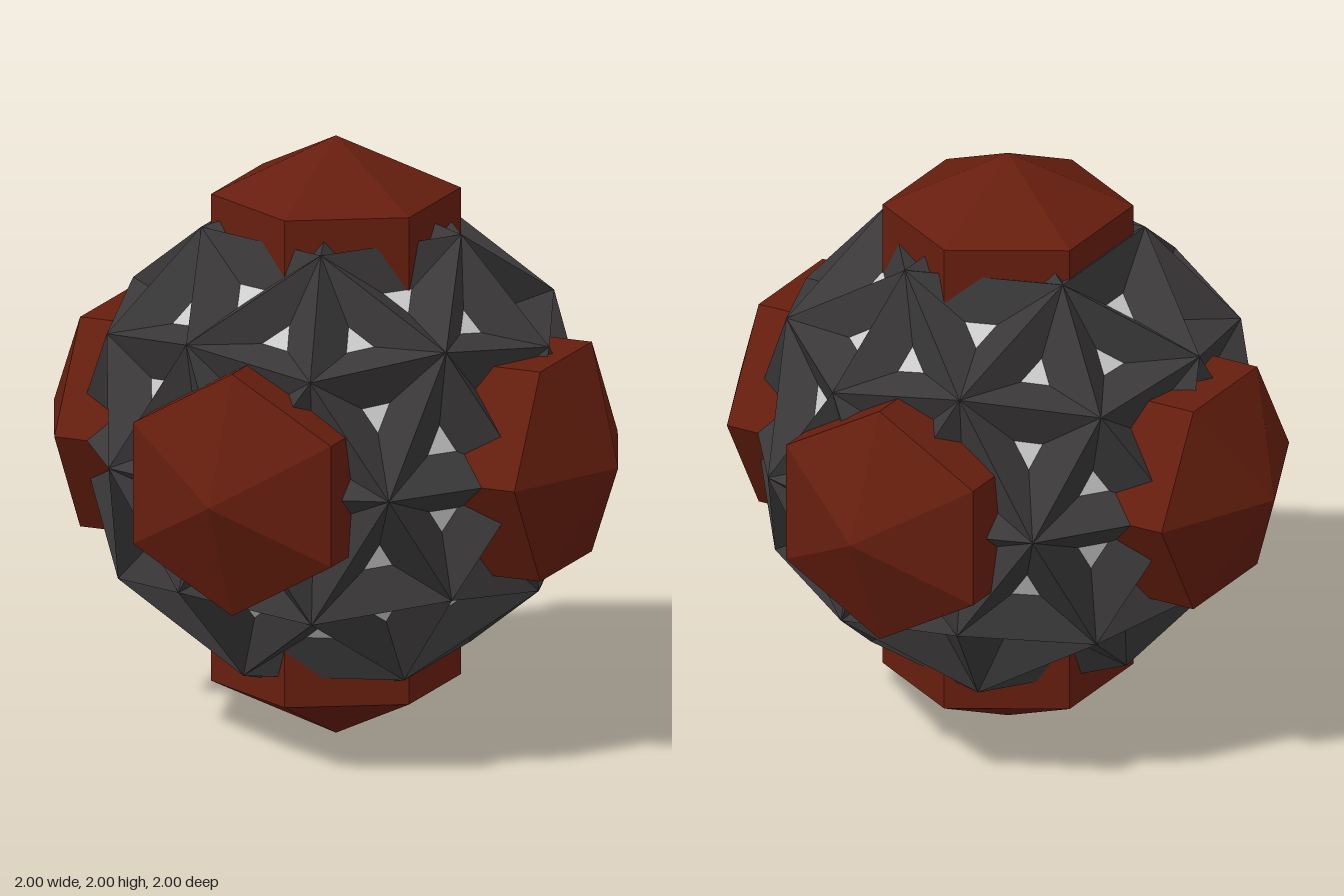
import * as THREE from 'three';

const R = 0.845;      // radius of the outer ridge vertices
const DEPTH = 0.885;  // scale of the inner core against the shell
const HOLE = 0.23;    // size of the opening in each pocket

// 80 triangles of a twice-divided icosahedron standing on a vertex
function geodesicFaces() {
  const ring = (y, turn) => Array.from({ length: 5 }, (_, k) => {
    const a = turn + k * Math.PI * 0.4, r = Math.sqrt(1 - y * y);
    return new THREE.Vector3(r * Math.cos(a), y, r * Math.sin(a));
  });
  const top = new THREE.Vector3(0, 1, 0), bottom = new THREE.Vector3(0, -1, 0);
  const h = 1 / Math.sqrt(5);
  const up = ring(h, 0), low = ring(-h, Math.PI / 5);
  const faces = [];
  for (let k = 0; k < 5; k++) {
    const n = (k + 1) % 5;
    faces.push([top, up[n], up[k]], [up[k], up[n], low[k]],
      [low[k], up[n], low[n]], [bottom, low[k], low[n]]);
  }
  const mid = (a, b) => a.clone().add(b).normalize();
  return faces.flatMap(([a, b, c]) => {
    const ab = mid(a, b), bc = mid(b, c), ca = mid(c, a);
    return [[a, ab, ca], [ab, b, bc], [ca, bc, c], [ab, bc, ca]];
  }).map((f) => f.map((p) => p.clone().multiplyScalar(R)));
}

function facetMesh(name, triangles, color) {
  const points = triangles.flat();
  const geometry = new THREE.BufferGeometry().setFromPoints(points);
  geometry.computeVertexNormals();
  const mesh = new THREE.Mesh(geometry, new THREE.MeshStandardMaterial({
    color, flatShading: true, side: THREE.DoubleSide,
  }));
  mesh.name = name;
  return mesh;
}

export function createModel() {
  const model = new THREE.Group();
  model.name = 'spikedBall';
  const body = new THREE.Group();
  body.position.y = 1;
  model.add(body);

  const faces = geodesicFaces();

  // pale core seen through the openings
  body.add(facetMesh('innerCore',
    faces.map((f) => f.map((p) => p.clone().multiplyScalar(DEPTH))), 0xcccccc));

  // dark shell: each triangle sinks from its ridges to a small opening
  const shell = [];
  for (const f of faces) {
    const centre = f[0].clone().add(f[1]).add(f[2]).divideScalar(3);
    const inner = f.map((p) => centre.clone().lerp(p, HOLE).multiplyScalar(DEPTH));
    for (let i = 0; i < 3; i++) {
      const j = (i + 1) % 3;
      shell.push([f[i], f[j], inner[j]], [f[i], inner[j], inner[i]]);
    }
  }
  body.add(facetMesh('ridgedShell', shell, 0x3a3838));

  // six hexagonal studs with pointed caps, one on each axis
  const red = new THREE.MeshStandardMaterial({ color: 0x661e0e, flatShading: true });
  const prism = new THREE.CylinderGeometry(0.405, 0.405, 0.37, 6, 1, true).translate(0, 0.63, 0);
  const cap = new THREE.ConeGeometry(0.405, 0.185, 6, 1, true).translate(0, 0.9075, 0);
  const studs = {
    topStud: [0, 0, 0], bottomStud: [Math.PI, 0, 0],
    frontStud: [Math.PI / 2, 0, 0], backStud: [-Math.PI / 2, 0, 0],
    leftStud: [0, 0, -Math.PI / 2], rightStud: [0, 0, Math.PI / 2],
  };
  for (const [name, turn] of Object.entries(studs)) {
    const stud = new THREE.Group();
    stud.name = name;
    const side = new THREE.Mesh(prism, red);
    side.name = 'studSides';
    const tip = new THREE.Mesh(cap, red);
    tip.name = 'studCap';
    stud.add(side, tip);
    stud.rotation.set(...turn);
    body.add(stud);
  }
  return model;
}
